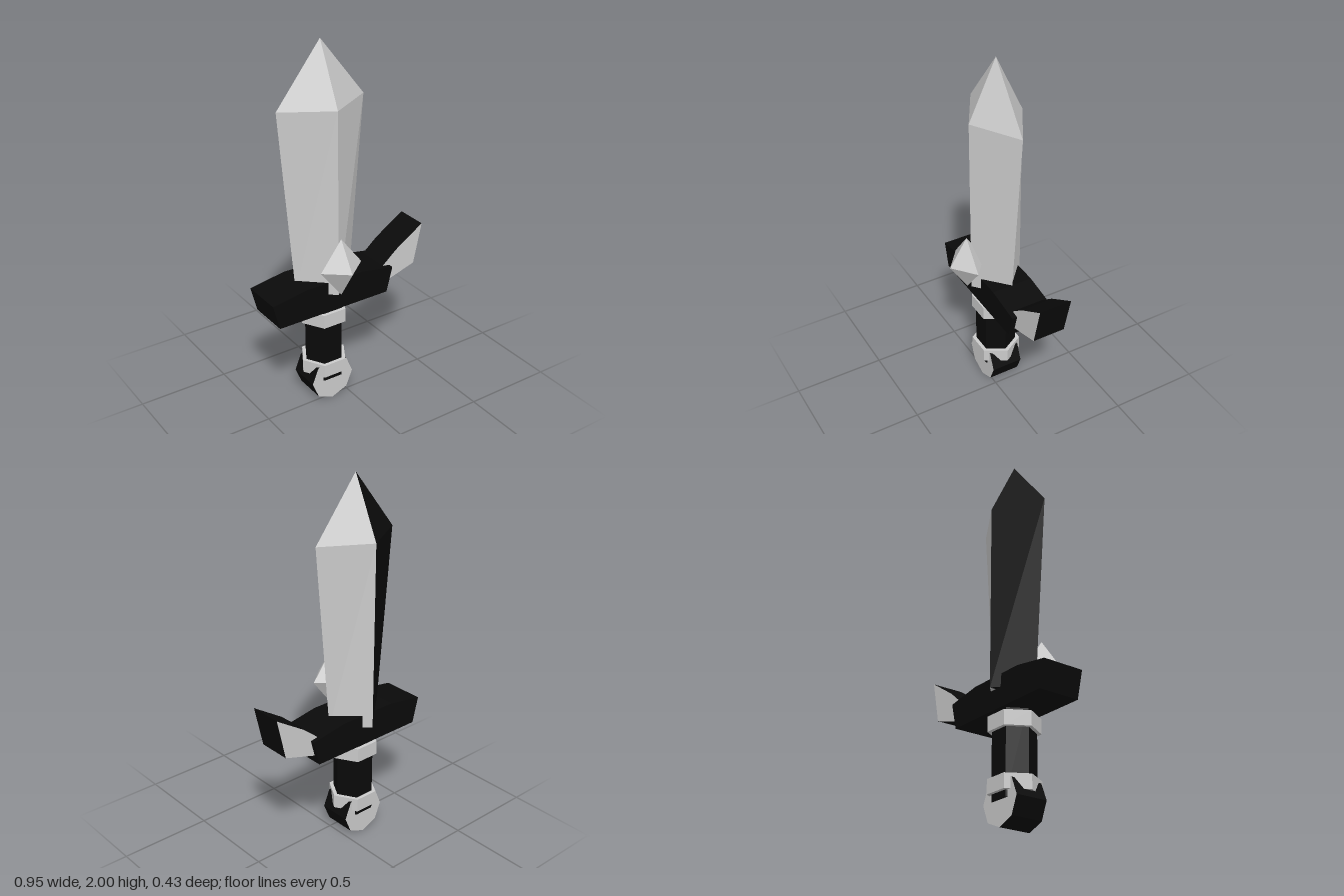
import * as THREE from 'three';

const CX = -0.107, CZ = -0.063; // axis of the sword
const steel = new THREE.MeshStandardMaterial({ color: 0xcccccc, flatShading: true });
const black = new THREE.MeshStandardMaterial({ color: 0x0a0a0a, flatShading: true });

function add(parent, name, geometry, material, x = 0, y = 0, z = 0) {
  const mesh = new THREE.Mesh(geometry, material);
  mesh.name = name;
  mesh.position.set(x, y, z);
  parent.add(mesh);
  return mesh;
}

// Outline in x/y, extruded between two depths
function slab(points, zBack, zFront) {
  const shape = new THREE.Shape(points.map(([x, y]) => new THREE.Vector2(x, y)));
  return new THREE.ExtrudeGeometry(shape, { depth: zFront - zBack, bevelEnabled: false }).translate(0, 0, zBack);
}

// Six-sided prism with corners pointing left and right
function hexPrism(radius, y0, y1) {
  return new THREE.CylinderGeometry(radius, radius, y1 - y0, 6, 1, false, Math.PI / 6)
    .translate(0, (y0 + y1) / 2, 0);
}

// Diamond-section blade body: width tapers downwards, depth stays constant
function bladeBody(sides, start) {
  const y0 = 0.675, y1 = 1.68;
  const g = new THREE.CylinderGeometry(1, 1, y1 - y0, sides, 1, false, start, sides * Math.PI / 2);
  g.translate(0, (y0 + y1) / 2, 0);
  const p = g.attributes.position;
  for (let i = 0; i < p.count; i++) {
    const t = (p.getY(i) - y0) / (y1 - y0);
    p.setXYZ(i, p.getX(i) * THREE.MathUtils.lerp(0.167, 0.253, t), p.getY(i), p.getZ(i) * 0.15);
  }
  return g;
}

function bladeTip(sides, start) {
  return new THREE.ConeGeometry(1, 0.32, sides, 1, true, start, sides * Math.PI / 2)
    .scale(0.253, 1, 0.15).translate(0, 1.84, 0);
}

export function createModel() {
  const model = new THREE.Group();
  model.name = 'sword';

  // Blade: three steel sides and one black side
  const blade = new THREE.Group();
  blade.name = 'blade';
  model.add(blade);
  for (const [label, material, sides, start] of [
    ['Steel', steel, 3, Math.PI * 1.5],
    ['Black', black, 1, Math.PI],
  ]) {
    add(blade, 'bladeBody' + label, bladeBody(sides, start), material, CX, 0, CZ);
    add(blade, 'bladeTip' + label, bladeTip(sides, start), material, CX, 0, CZ);
  }

  // Crystal set into the front of the blade
  add(model, 'crystal', new THREE.OctahedronGeometry(1).scale(0.123, 0.16, 0.1), steel, CX, 0.85, 0.112);

  // Crossguard
  const half = [[0.334, 0.57], [0.37, 0.71], [0.17, 0.743]];
  const outline = [...half, ...half.map(([x, y]) => [-x, y]).reverse()];
  add(model, 'guard', slab(outline, -0.115, 0.115), black, CX, 0, CZ);

  // Single horn rising from one end of the guard
  const horn = [[0.17, 0.60], [0.24, 0.617], [0.425, 0.675], [0.475, 0.90], [0.305, 0.79], [0.21, 0.71]];
  add(model, 'horn', slab(horn, -0.155, 0.025), [steel, black]);

  // Grip with two collars
  add(model, 'grip', hexPrism(0.11, 0.13, 0.6), black, CX, 0, CZ);
  add(model, 'upperCollar', hexPrism(0.132, 0.475, 0.553), steel, CX, 0, CZ);
  add(model, 'lowerCollar', hexPrism(0.132, 0.165, 0.24), steel, CX, 0, CZ);

  // Eight-sided pommel disc facing front and back
  const disc = Array.from({ length: 8 }, (_, i) => {
    const a = i * Math.PI / 4;
    return [0.128 * Math.cos(a), 0.128 + 0.128 * Math.sin(a)];
  });
  add(model, 'pommel', slab(disc, -0.088, 0.088), [steel, black], CX, 0, CZ);

  return model;
}
